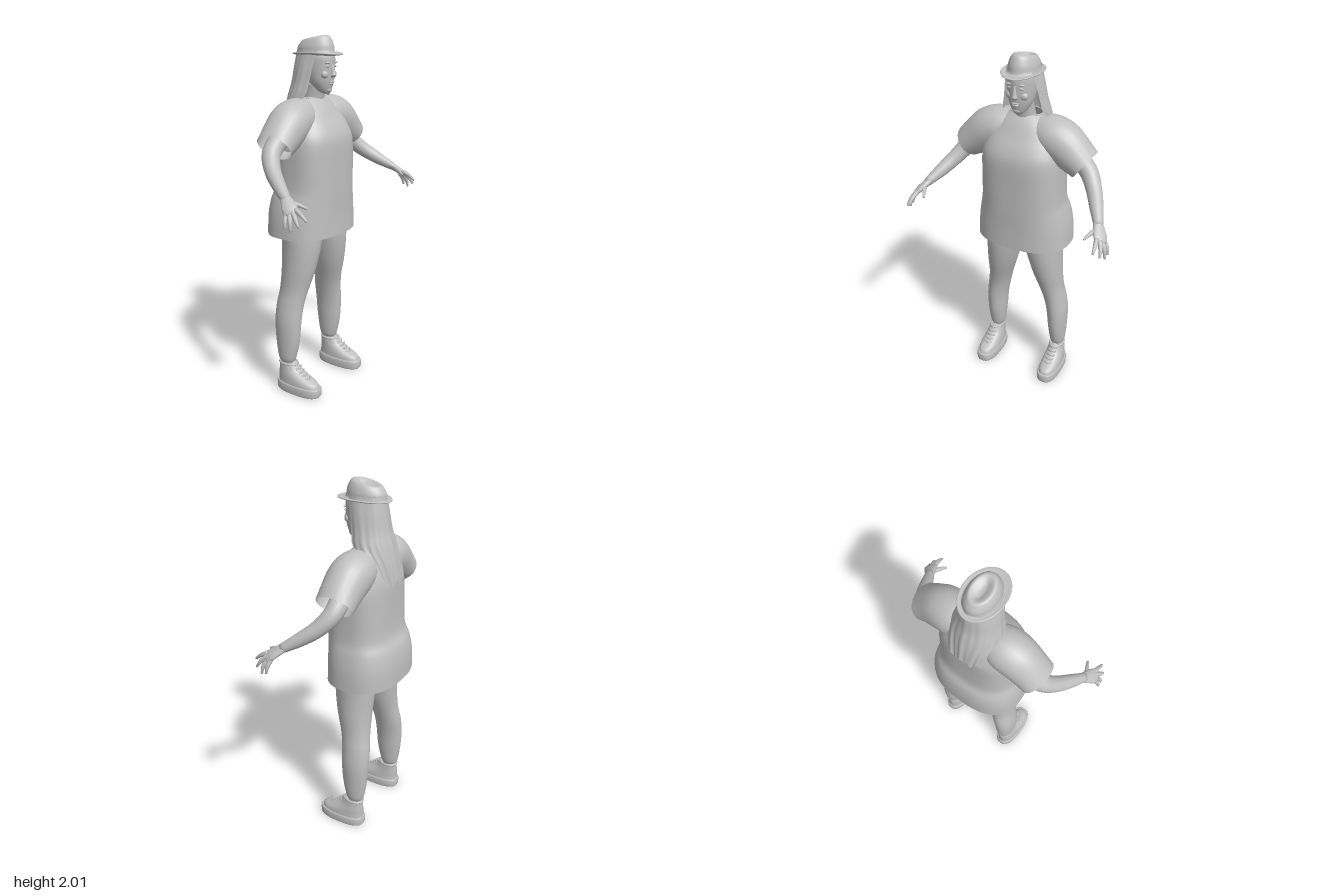
import * as THREE from 'three';

const grey = new THREE.MeshStandardMaterial({ color: 0xc0c0c0, side: THREE.DoubleSide });
grey.name = 'plain grey';

// Catmull-Rom interpolation of whole rows of numbers
function smoothRows(rows, sub) {
  const out = [], last = rows.length - 1;
  const at = i => rows[Math.min(last, Math.max(0, i))];
  for (let i = 0; i < last; i++) for (let k = 0; k < sub; k++) {
    const t = k / sub;
    out.push(rows[i].map((p1, j) => {
      const p0 = at(i - 1)[j], p2 = at(i + 1)[j], p3 = at(i + 2)[j];
      return p1 + 0.5 * t * (p2 - p0 + t * (2 * p0 - 5 * p1 + 4 * p2 - p3 + t * (3 * (p1 - p2) + p3 - p0)));
    }));
  }
  out.push(rows[last]);
  return out;
}

// Loft through rings [x, y, z, radiusU, radiusV, power]; U follows the ref axis
function loft(rings, { ref = [1, 0, 0], seg = 28, sub = 4, upright = false, caps = true, rule } = {}) {
  const rows = smoothRows(rings.map(r => (r.length < 6 ? [...r, 2] : r)), sub);
  const c = rows.map(r => new THREE.Vector3(r[0], r[1], r[2]));
  const pos = [], idx = [], n = rows.length;
  rows.forEach((r, i) => {
    const t = upright ? new THREE.Vector3(0, 1, 0)
      : c[Math.min(n - 1, i + 1)].clone().sub(c[Math.max(0, i - 1)]).normalize();
    const u = new THREE.Vector3(...ref);
    u.addScaledVector(t, -u.dot(t)).normalize();
    const v = t.clone().cross(u);
    for (let j = 0; j < seg; j++) {
      const a = j / seg * Math.PI * 2, e = 2 / r[5];
      const cu = Math.sign(Math.cos(a)) * Math.abs(Math.cos(a)) ** e;
      const sv = Math.sign(Math.sin(a)) * Math.abs(Math.sin(a)) ** e;
      const p = c[i].clone().addScaledVector(u, r[3] * cu).addScaledVector(v, r[4] * sv);
      if (rule) rule(p);
      pos.push(p.x, p.y, p.z);
    }
  });
  for (let i = 0; i < n - 1; i++) for (let j = 0; j < seg; j++) {
    const k = (j + 1) % seg, a = i * seg, b = a + seg;
    idx.push(a + j, a + k, b + j, a + k, b + k, b + j);
  }
  if (caps) [0, n - 1].forEach((row, end) => {
    const p = c[row].clone(), m = pos.length / 3, a = row * seg;
    if (rule) rule(p);
    pos.push(p.x, p.y, p.z);
    for (let j = 0; j < seg; j++) {
      const k = (j + 1) % seg;
      idx.push(m, a + (end ? j : k), a + (end ? k : j));
    }
  });
  return build(pos, idx);
}

function build(pos, idx) {
  const g = new THREE.BufferGeometry();
  g.setAttribute('position', new THREE.Float32BufferAttribute(pos, 3));
  g.setIndex(idx);
  g.computeVertexNormals();
  return g;
}

// Hair: a rippled sheet wrapped round the back; rows are [y, z, radiusX, radiusZ, halfAngle]
function hairSheet(rows, seg = 72) {
  const pos = [], idx = [], fine = smoothRows(rows, 5), w = seg + 1;
  fine.forEach(([y, z, rx, rz, half], i) => {
    const low = i / (fine.length - 1);
    for (let j = 0; j <= seg; j++) {
      const s = j / seg * 2 - 1, a = s * half;
      const k = 1 + 0.025 * low * Math.sin(s * 38) + 0.012 * Math.sin(s * 17 + 1);
      const ragged = low ** 4 * 0.02 * Math.sin(s * 21 + Math.cos(s * 9));
      pos.push(rx * k * Math.sin(a), y + ragged, z - rz * k * Math.cos(a));
    }
  });
  for (let i = 0; i < fine.length - 1; i++) for (let j = 0; j < seg; j++) {
    const a = i * w + j, b = a + w;
    idx.push(a, a + 1, b, a + 1, b + 1, b);
  }
  return build(pos, idx);
}

export function createModel() {
  const model = new THREE.Group();
  const add = (name, geo, parent = model) => {
    const m = new THREE.Mesh(geo, grey);
    m.name = name;
    parent.add(m);
    return m;
  };
  const group = name => {
    const g = new THREE.Group();
    g.name = name;
    model.add(g);
    return g;
  };
  const blob = (name, parent, p, s) => {
    const m = add(name, new THREE.SphereGeometry(1, 16, 10), parent);
    m.position.set(...p);
    m.scale.set(...s);
  };

  // Loose shirt, open at hem and neck
  add('shirt', loft([
    [0, 0.93, -0.083, 0.275, 0.202, 2.5], [0, 1.04, -0.083, 0.268, 0.2, 2.5],
    [0, 1.13, -0.075, 0.252, 0.193, 2.5], [0, 1.2, -0.06, 0.235, 0.178, 2.6],
    [0, 1.32, -0.056, 0.23, 0.173, 2.7], [0, 1.45, -0.056, 0.228, 0.171, 2.6],
    [0, 1.52, -0.065, 0.215, 0.158, 2.4], [0, 1.58, -0.075, 0.195, 0.13, 2.3],
    [0, 1.64, -0.082, 0.155, 0.1, 2.1], [0, 1.68, -0.085, 0.09, 0.067, 2]],
  { seg: 56, upright: true, caps: false }));
  const collar = add('collar', new THREE.TorusGeometry(1, 0.05, 8, 40));
  collar.position.set(0, 1.68, -0.085);
  collar.rotation.x = Math.PI / 2;
  collar.scale.set(0.09, 0.067, 0.08);
  blob('hips', model, [0, 1.03, -0.075], [0.21, 0.13, 0.15]);

  // Head, neck and face
  const head = group('head');
  add('neck', loft([[0, 1.58, -0.085, 0.075, 0.07], [0, 1.67, -0.065, 0.056, 0.056],
    [0, 1.76, -0.04, 0.052, 0.055]], { upright: true }), head);
  add('skull', loft([[0, 1.702, 0.018, 0.018, 0.018], [0, 1.72, 0.0, 0.041, 0.044],
    [0, 1.76, -0.016, 0.063, 0.07], [0, 1.8, -0.025, 0.072, 0.084], [0, 1.85, -0.03, 0.077, 0.091],
    [0, 1.9, -0.036, 0.078, 0.095], [0, 1.95, -0.045, 0.06, 0.08]], { upright: true }), head);
  add('nose', loft([[0, 1.786, 0.054, 0.009, 0.008], [0, 1.798, 0.062, 0.016, 0.016],
    [0, 1.815, 0.061, 0.011, 0.013], [0, 1.858, 0.054, 0.007, 0.008]], { seg: 14, upright: true }), head);
  blob('upperLip', head, [0, 1.765, 0.054], [0.023, 0.006, 0.009]);
  blob('lowerLip', head, [0, 1.754, 0.052], [0.019, 0.007, 0.009]);
  blob('chin', head, [0, 1.722, 0.034], [0.022, 0.016, 0.014]);
  for (const s of [1, -1]) {
    blob('eye', head, [s * 0.031, 1.845, 0.05], [0.015, 0.007, 0.007]);
    blob('brow', head, [s * 0.032, 1.864, 0.05], [0.022, 0.006, 0.01]);
    blob('cheek', head, [s * 0.038, 1.803, 0.033], [0.024, 0.022, 0.02]);
  }
  add('hair', hairSheet([[1.93, -0.045, 0.083, 0.115, 2.1], [1.85, -0.058, 0.1, 0.113, 2.05],
    [1.76, -0.07, 0.115, 0.115, 2.0], [1.69, -0.085, 0.13, 0.12, 1.95],
    [1.6, -0.115, 0.142, 0.112, 1.5], [1.5, -0.155, 0.14, 0.088, 1.25]]), head);

  // Brimmed hat: brim, crown sloping to the back, and a dent on top
  add('hat', loft([[0, 1.898, -0.045, 0.075, 0.105], [0, 1.903, -0.04, 0.104, 0.144],
    [0, 1.91, -0.04, 0.104, 0.144], [0, 1.913, -0.048, 0.081, 0.113], [0, 1.95, -0.052, 0.076, 0.107],
    [0, 1.99, -0.055, 0.062, 0.09], [0, 2.002, -0.056, 0.044, 0.068], [0, 1.982, -0.055, 0.012, 0.035]],
  { seg: 40, upright: true, rule: p => {
    if (p.y > 1.92) p.y += p.z * 0.2 * Math.min(1, (p.y - 1.92) / 0.07);
    else p.y += 0.8 * p.x * p.x;
  } }), head);

  for (const s of [1, -1]) {
    const side = s > 0 ? 'left' : 'right';
    const flip = rows => rows.map(([x, ...rest]) => [s * x, ...rest]);
    const alongZ = { ref: [0, 0, 1], seg: 24 };

    // Wide sleeve and bare arm
    const arm = group(side + 'Arm');
    add('sleeve', loft(flip([[0.07, 1.585, -0.08, 0.09, 0.09], [0.14, 1.575, -0.078, 0.113, 0.11],
      [0.21, 1.548, -0.073, 0.115, 0.117], [0.28, 1.497, -0.07, 0.108, 0.106],
      [0.345, 1.447, -0.07, 0.104, 0.088]]), { ...alongZ, caps: false }), arm);
    add('forearm', loft(flip([[0.27, 1.5, -0.08, 0.055, 0.055], [0.36, 1.418, -0.075, 0.05, 0.05],
      [0.42, 1.345, -0.02, 0.043, 0.043], [0.47, 1.285, 0.06, 0.036, 0.036],
      [0.515, 1.235, 0.14, 0.025, 0.023]]), alongZ), arm);

    // Hand with spread fingers
    add('palm', loft(flip([[0.505, 1.245, 0.125, 0.025, 0.022], [0.525, 1.223, 0.155, 0.034, 0.019],
      [0.543, 1.203, 0.183, 0.039, 0.016], [0.556, 1.183, 0.205, 0.032, 0.012]]),
    { ...alongZ, ref: [-s * 0.5, 0.1, 0.85] }), arm);
    const fingers = {
      indexFinger: [[0.535, 1.203, 0.21], [0.543, 1.182, 0.25], [0.545, 1.155, 0.283]],
      middleFinger: [[0.55, 1.193, 0.203], [0.568, 1.162, 0.235], [0.575, 1.128, 0.258]],
      ringFinger: [[0.557, 1.187, 0.19], [0.58, 1.147, 0.21], [0.587, 1.104, 0.218]],
      littleFinger: [[0.557, 1.19, 0.172], [0.583, 1.15, 0.183], [0.59, 1.113, 0.188]],
      thumb: [[0.517, 1.225, 0.158], [0.495, 1.215, 0.2], [0.477, 1.197, 0.238]]
    };
    for (const [name, pts] of Object.entries(fingers)) {
      const r = [0.013, 0.011, 0.006];
      add(name, loft(flip(pts.map((p, i) => [...p, r[i], r[i]])), { seg: 10, sub: 3 }), arm);
    }

    // Leg, tapering to a gathered cuff
    const leg = group(side + 'Leg');
    add('trouserLeg', loft(flip([[0.21, 0.172, -0.108, 0.034, 0.044], [0.21, 0.2, -0.108, 0.046, 0.056],
      [0.208, 0.3, -0.105, 0.055, 0.074], [0.204, 0.42, -0.104, 0.062, 0.082],
      [0.188, 0.52, -0.1, 0.066, 0.084], [0.168, 0.61, -0.086, 0.071, 0.087],
      [0.148, 0.72, -0.07, 0.087, 0.1], [0.13, 0.84, -0.062, 0.103, 0.112],
      [0.118, 0.94, -0.063, 0.116, 0.118], [0.105, 1.1, -0.075, 0.12, 0.14]]),
    { seg: 32, upright: true }), leg);
    add('ankle', loft(flip([[0.212, 0.1, -0.108, 0.036, 0.042], [0.21, 0.19, -0.108, 0.034, 0.042]]),
      { upright: true }), leg);

    // Shoe: thick sole, sloping upper, collar and laces
    const shoe = group(side + 'Shoe');
    add('sole', loft(flip([[0.213, 0, -0.023, 0.06, 0.138, 2.6], [0.213, 0.008, -0.023, 0.065, 0.144, 2.6],
      [0.213, 0.045, -0.023, 0.065, 0.144, 2.6], [0.213, 0.054, -0.023, 0.06, 0.138, 2.6]]),
    { seg: 40, sub: 2, upright: true }), shoe);
    add('upper', loft(flip([[0.213, 0.05, -0.025, 0.059, 0.136, 2.4], [0.213, 0.075, -0.031, 0.057, 0.128, 2.3],
      [0.213, 0.1, -0.058, 0.053, 0.101, 2.2], [0.212, 0.13, -0.085, 0.048, 0.073],
      [0.211, 0.165, -0.099, 0.044, 0.057]]), { seg: 40, upright: true }), shoe);
    const rim = add('ankleCollar', new THREE.TorusGeometry(1, 0.15, 8, 28), shoe);
    rim.position.set(s * 0.211, 0.163, -0.1);
    rim.rotation.x = Math.PI / 2;
    rim.scale.set(0.041, 0.054, 0.05);
    for (let i = 0; i < 5; i++) {
      const y = 0.095 + i * 0.016, z = 0.044 - i * 0.021;
      for (const d of [1, -1]) {
        const ends = [[-0.026, y - d * 0.006, z - 0.01], [0, y + 0.004, z + 0.004], [0.026, y + d * 0.006, z - 0.01]];
        const path = new THREE.CatmullRomCurve3(ends.map(p => new THREE.Vector3(s * 0.212 + p[0], p[1], p[2])));
        add('lace', new THREE.TubeGeometry(path, 8, 0.004, 6), shoe);
      }
    }
    const tongue = add('tongue', new THREE.SphereGeometry(1, 14, 10), shoe);
    tongue.position.set(s * 0.211, 0.155, -0.05);
    tongue.rotation.x = -0.5;
    tongue.scale.set(0.027, 0.025, 0.009);
  }
  return model;
}
